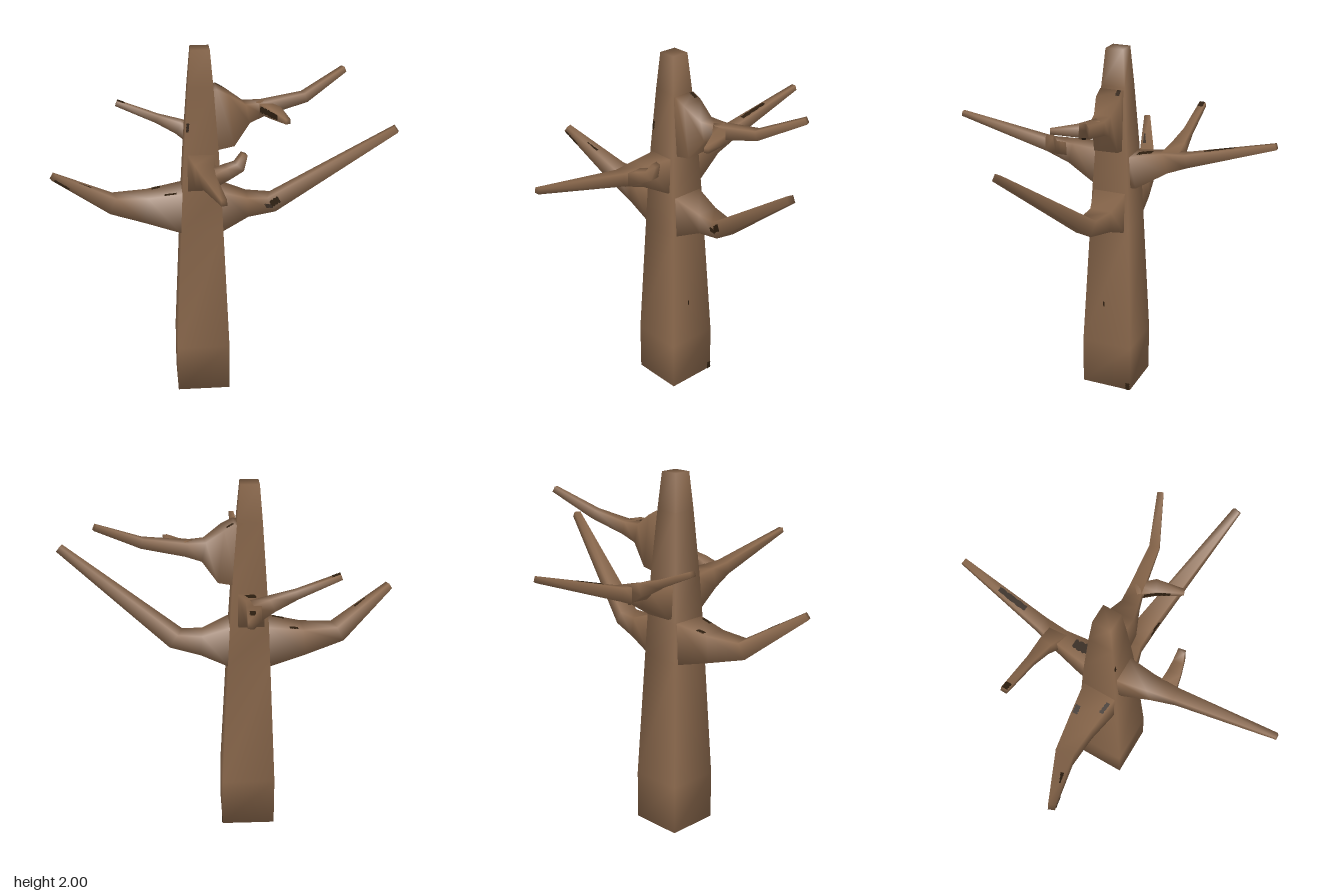
import * as THREE from 'three';

const bark = new THREE.MeshStandardMaterial({ color: 0x8a684c });
bark.name = 'bark brown';
const darkBark = new THREE.MeshStandardMaterial({ color: 0x2e1f10 });
darkBark.name = 'dark bark';

const Y = new THREE.Vector3(0, 1, 0);

function makeMesh(name, pos, index, material) {
  const geo = new THREE.BufferGeometry();
  geo.setAttribute('position', new THREE.Float32BufferAttribute(pos.flatMap((p) => p.toArray()), 3));
  geo.setIndex(index);
  geo.computeVertexNormals();
  const mesh = new THREE.Mesh(geo, material);
  mesh.name = name;
  return mesh;
}

// Ragged dark patch lying just above the face A, B, C, D (s runs A to B, t runs A to D)
function barkPatch(A, B, C, D, [t0, t1, s0, s1]) {
  const rows = 8;
  const normal = B.clone().sub(A).cross(D.clone().sub(A)).normalize();
  const at = (s, t) => {
    const p = A.clone();
    if (s >= t) p.addScaledVector(B, s).addScaledVector(A, -s).addScaledVector(C, t).addScaledVector(B, -t);
    else p.addScaledVector(D, t).addScaledVector(A, -t).addScaledVector(C, s).addScaledVector(D, -s);
    return p.addScaledVector(normal, 0.003);
  };
  const pos = [];
  const index = [];
  for (let i = 0; i <= rows; i++) {
    const t = t0 + (t1 - t0) * i / rows;
    const ragged = (s1 - s0) * (0.08 + 0.08 * Math.sin(i * 2.4));
    pos.push(at(s0 + ragged, t), at(s1 - ragged, t));
    if (i < rows) index.push(2 * i, 2 * i + 1, 2 * i + 3, 2 * i, 2 * i + 3, 2 * i + 2);
  }
  return makeMesh('darkBarkPatch', pos, index, darkBark);
}

// Sweeps a four-sided section along points [x, y, z, halfHeight, halfWidth = halfHeight].
// Patches are [segment, face, t0, t1, s0, s1]; face 1 is the underside, 3 the top.
function limb(name, points, patches = [], up = Y) {
  const centres = points.map(([x, y, z]) => new THREE.Vector3(x, y, z));
  const last = points.length - 1;
  const pos = [];
  const index = [];
  points.forEach(([, , , h, w = h], i) => {
    const t = centres[Math.min(i + 1, last)].clone().sub(centres[Math.max(i - 1, 0)]).normalize();
    const u = t.clone().cross(up).normalize();
    const v = u.clone().cross(t);
    for (const [a, b] of [[1, 1], [1, -1], [-1, -1], [-1, 1]]) {
      pos.push(centres[i].clone().addScaledVector(u, a * w).addScaledVector(v, b * h));
    }
    if (i === last) return;
    for (let k = 0; k < 4; k++) {
      const a = i * 4 + k;
      const b = i * 4 + (k + 1) % 4;
      index.push(a, b, b + 4, a, b + 4, a + 4);
    }
  });
  // end caps
  const e = last * 4;
  index.push(0, 2, 1, 0, 3, 2, e, e + 1, e + 2, e, e + 2, e + 3);

  const group = new THREE.Group();
  group.name = name;
  group.add(makeMesh(name + 'Wood', pos, index, bark));
  for (const [segment, face, ...range] of patches) {
    const a = segment * 4 + face;
    const b = segment * 4 + (face + 1) % 4;
    group.add(barkPatch(pos[a], pos[b], pos[b + 4], pos[a + 4], range));
  }
  return group;
}

export function createModel() {
  const tree = new THREE.Group();
  tree.name = 'bareTree';

  // Trunk: straight foot, then a steady taper
  const trunk = [[0.003, 0.148], [0.28, 0.148], [1.0, 0.115], [1.22, 0.105], [1.45, 0.092], [1.8, 0.067], [2, 0.05]];
  tree.add(limb('trunk', trunk.map(([y, r]) => [-0.117, y, -0.021, r]), [
    [0, 3, 0, 0.16, 0.9, 1],
    [1, 3, 0.33, 0.37, 0.45, 0.48],
    [4, 2, 0.33, 0.47, 0.01, 0.14],
  ], new THREE.Vector3(1, 0, 0)));

  // Dark streak under the foot, along the diagonal
  const foot = [[-0.125, -0.055], [-0.155, -0.025], [-0.23, -0.1], [-0.2, -0.13]];
  tree.add(barkPatch(...foot.map(([x, z]) => new THREE.Vector3(x, 0.003, z)).reverse(), [0, 1, 0, 1]));

  // Low side branches
  tree.add(limb('lowRightBranch', [
    [-0.12, 1.1, -0.02, 0.11, 0.09], [-0.23, 1.1, -0.02, 0.115, 0.095], [-0.42, 1.113, -0.02, 0.073, 0.07],
    [-0.61, 1.143, -0.005, 0.046, 0.05], [-0.908, 1.36, 0.115, 0.018],
  ], [
    [1, 3, 0.6, 0.85, 0.8, 0.98],
    [1, 3, 0.15, 0.5, 0.02, 0.2],
    [3, 3, 0.4, 0.6, 0.35, 0.6],
    [3, 2, 0.72, 0.97, 0.02, 0.4],
  ]));
  tree.add(limb('lowLeftBranch', [
    [-0.12, 1.1, -0.02, 0.11, 0.09], [-0.005, 1.1, -0.02, 0.115, 0.09], [0.14, 1.105, -0.03, 0.056, 0.062],
    [0.28, 1.12, -0.01, 0.045, 0.05], [0.905, 1.59, 0.165, 0.019],
  ], [
    [2, 0, 0.68, 1, 0.4, 0.75],
    [3, 0, 0, 0.07, 0.2, 0.7],
  ]));

  // High branch with its swollen root and a twig
  tree.add(limb('highLeftBranch', [
    [-0.12, 1.62, -0.02, 0.14, 0.05], [-0.04, 1.62, -0.02, 0.17, 0.064], [0.04, 1.615, -0.025, 0.145, 0.066],
    [0.13, 1.64, -0.035, 0.053, 0.045], [0.22, 1.655, -0.05, 0.036], [0.45, 1.7, -0.08, 0.026],
    [0.68, 1.82, -0.18, 0.016],
  ], [
    [1, 3, 0.05, 0.7, 0.05, 0.25],
    [5, 1, 0.02, 0.25, 0.3, 0.8],
  ]));
  tree.add(limb('highLeftTwig', [
    [0.2, 1.665, -0.05, 0.03], [0.28, 1.65, 0.03, 0.026, 0.035], [0.33, 1.645, 0.165, 0.013],
  ], [
    [0, 0, 0.35, 1, 0.1, 0.85],
    [1, 0, 0, 0.5, 0.15, 0.9],
  ]));

  // Front branch and twig
  tree.add(limb('frontBranch', [
    [-0.118, 1.33, -0.02, 0.09, 0.07], [-0.118, 1.34, 0.075, 0.1, 0.075], [-0.112, 1.385, 0.24, 0.058, 0.05],
    [-0.1, 1.41, 0.38, 0.035], [-0.07, 1.53, 0.92, 0.014],
  ]));
  tree.add(limb('frontTwig', [
    [-0.1, 1.39, 0.31, 0.035, 0.05], [0, 1.435, 0.305, 0.032, 0.035], [0.06, 1.46, 0.295, 0.028],
    [0.088, 1.525, 0.29, 0.014, 0.02],
  ]));

  // Back branch and twig
  tree.add(limb('backBranch', [
    [-0.12, 1.32, -0.02, 0.085, 0.07], [-0.125, 1.325, -0.13, 0.09, 0.07], [-0.13, 1.395, -0.31, 0.055, 0.045],
    [-0.115, 1.425, -0.43, 0.036], [-0.068, 1.585, -0.92, 0.015],
  ], [
    [1, 3, 0.2, 0.65, 0.4, 0.85],
    [3, 3, 0.22, 0.55, 0.35, 0.85],
  ]));
  tree.add(limb('backTwig', [
    [-0.12, 1.4, -0.33, 0.05], [-0.22, 1.455, -0.345, 0.035], [-0.34, 1.505, -0.35, 0.022],
    [-0.565, 1.6, -0.355, 0.014, 0.018],
  ], [
    [2, 3, 0.82, 1, 0, 1],
  ]));

  return tree;
}
